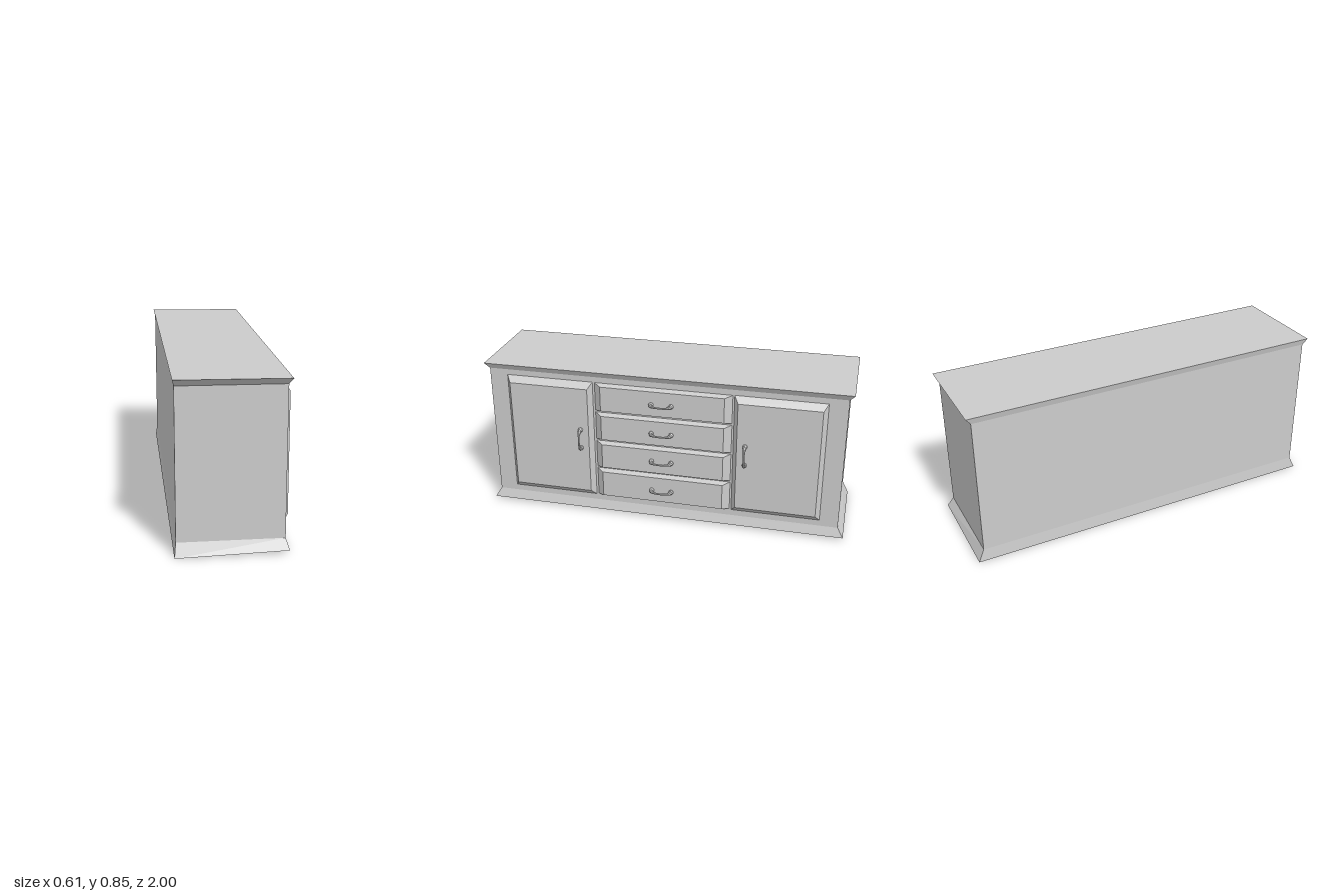
import * as THREE from 'three';

const material = new THREE.MeshStandardMaterial({ color: 0xcccccc, flatShading: true });

// Skin a list of equal-sized rings (counter-clockwise along the direction of travel) and cap both ends.
function loft(name, rings) {
  const pos = [];
  const tri = (a, b, c) => pos.push(...a, ...b, ...c);
  const n = rings[0].length;
  for (let i = 0; i < rings.length - 1; i++) {
    for (let j = 0; j < n; j++) {
      const k = (j + 1) % n;
      const [a, b, c, d] = [rings[i][j], rings[i][k], rings[i + 1][k], rings[i + 1][j]];
      tri(a, b, c);
      tri(a, c, d);
    }
  }
  const first = rings[0], last = rings[rings.length - 1];
  for (let j = 1; j < n - 1; j++) {
    tri(first[0], first[j + 1], first[j]);
    tri(last[0], last[j], last[j + 1]);
  }
  const geometry = new THREE.BufferGeometry();
  geometry.setAttribute('position', new THREE.Float32BufferAttribute(pos, 3));
  geometry.computeVertexNormals();
  const mesh = new THREE.Mesh(geometry, material);
  mesh.name = name;
  return mesh;
}

// Horizontal outline of the cabinet; back and front edges may differ in height.
const level = (x0, x1, yBack, yFront, z) =>
  [[x0, yBack, -z], [x0, yBack, z], [x1, yFront, z], [x1, yFront, -z]];

// Raised panel with bevelled edges, facing +x.
function panel(name, y0, y1, z0, z1, insetY, insetZ) {
  const outline = (x, iy, iz) => [
    [x, y0 + iy, z0 + iz], [x, y1 - iy, z0 + iz], [x, y1 - iy, z1 - iz], [x, y0 + iy, z1 - iz],
  ];
  return loft(name, [outline(0.227, 0, 0), outline(0.258, insetY, insetZ)]);
}

// Curved pull: [position along z, distance out along x, radius], mirrored about its middle.
function handle(name, y, z, upright) {
  const half = [
    [-0.054, -0.002, 0.013], [-0.055, 0.006, 0.013], [-0.055, 0.012, 0.009],
    [-0.053, 0.018, 0.010], [-0.047, 0.026, 0.009], [-0.036, 0.034, 0.006], [-0.018, 0.038, 0.005],
  ];
  const path = [...half, [0, 0.039, 0.005], ...half.map(([u, o, r]) => [-u, o, r]).reverse()];
  const rings = path.map(([u, o, r], i) => {
    const a = path[Math.max(i - 1, 0)], b = path[Math.min(i + 1, path.length - 1)];
    const t = new THREE.Vector2(b[1] - a[1], b[0] - a[0]).normalize();
    return Array.from({ length: 8 }, (_, j) => {
      const c = r * Math.cos(j * Math.PI / 4), s = r * Math.sin(j * Math.PI / 4);
      return [o - t.y * s, c, u + t.x * s];
    });
  });
  const mesh = loft(name, rings);
  mesh.position.set(0.258, y, z);
  if (upright) mesh.rotation.x = Math.PI / 2;
  return mesh;
}

export function createModel() {
  const model = new THREE.Group();
  model.name = 'sideboard';

  // Carcass with flared plinth and top
  model.add(loft('cabinet', [
    level(-0.303, 0.243, 0, 0.015, 1),
    level(-0.295, 0.226, 0.067, 0.067, 0.968),
    level(-0.295, 0.226, 0.82, 0.817, 0.968),
    level(-0.303, 0.243, 0.853, 0.848, 0.994),
  ]));

  // Doors at both ends
  for (const [side, s] of [['right', 1], ['left', -1]]) {
    const door = new THREE.Group();
    door.name = side + 'Door';
    const [z0, z1] = [0.385 * s, 0.868 * s].sort((a, b) => a - b);
    door.add(panel('doorPanel', 0.102, 0.787, z0, z1, 0.034, 0.023));
    door.add(handle('doorHandle', 0.458, 0.453 * s, true));
    model.add(door);
  }

  // Stack of four drawers, each [bottom, top, handle height]
  const drawers = [
    [0.107, 0.274, 0.187], [0.284, 0.444, 0.367], [0.455, 0.615, 0.535], [0.626, 0.786, 0.703],
  ];
  drawers.forEach(([y0, y1, yh], i) => {
    const drawer = new THREE.Group();
    drawer.name = 'drawer' + (i + 1);
    drawer.add(panel('drawerFront', y0, y1, -0.375, 0.373, 0.01, 0.038));
    drawer.add(handle('drawerHandle', yh, 0, false));
    model.add(drawer);
  });

  return model;
}
